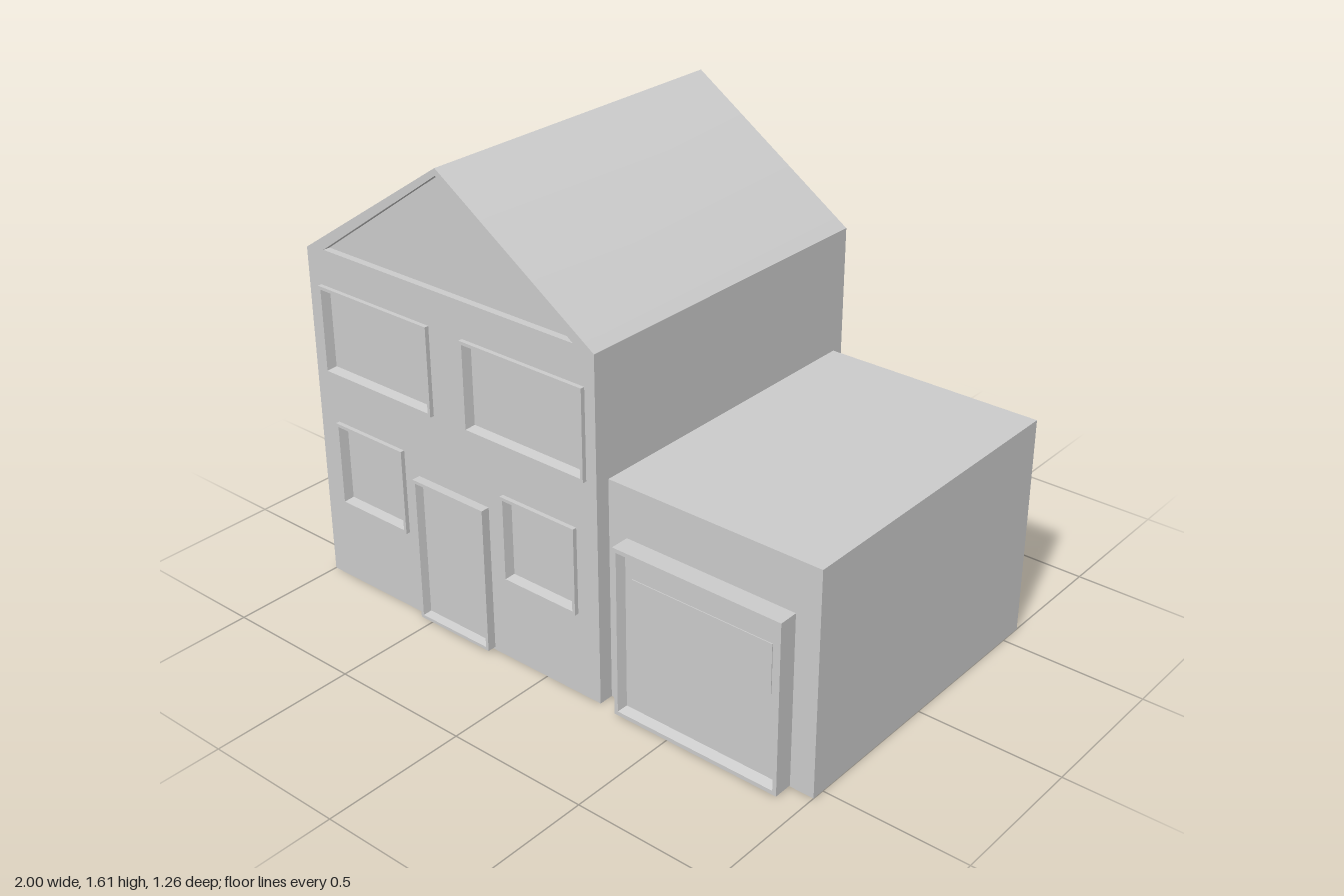
import * as THREE from 'three';

const material = new THREE.MeshStandardMaterial({ color: 0xcccccc });
const L = -1, R = 0.225, MID = (L + R) / 2, EAVE = 1.2, RIDGE = 1.61;

function addMesh(parent, name, geometry) {
  const mesh = new THREE.Mesh(geometry, material);
  mesh.name = name;
  parent.add(mesh);
  return mesh;
}

function polygon(points, Type = THREE.Shape) {
  return new Type(points.map(([x, y]) => new THREE.Vector2(x, y)));
}

// Rectangle corners, counter-clockwise, drawn in by an inset
function rect([x0, x1, y0, y1], inset = 0) {
  return [[x0 + inset, y0 + inset], [x1 - inset, y0 + inset],
    [x1 - inset, y1 - inset], [x0 + inset, y1 - inset]];
}

// Slice of the gabled house between two depths, its ridge shaded smoothly
function houseSlice(z0, z1, holes = []) {
  const shape = polygon([[L, 0], [R, 0], [R, EAVE], [MID, RIDGE], [L, EAVE]]);
  shape.holes = holes.map((h) => polygon(h, THREE.Path));
  const geometry = new THREE.ExtrudeGeometry(shape, { depth: z1 - z0, bevelEnabled: false });
  geometry.translate(0, 0, z0);
  const p = geometry.attributes.position, n = geometry.attributes.normal;
  for (let i = 0; i < p.count; i++) {
    if (p.getY(i) > RIDGE - 0.001 && n.getY(i) > 0.5) n.setXYZ(i, 0, 1, 0);
  }
  return geometry;
}

// Moulded frame with a sunken panel: nested rectangles, each [inset, z]
function framedPanel(bounds, steps) {
  const rings = steps.map(([inset, z]) => rect(bounds, inset).map(([x, y]) => [x, y, z]));
  const out = [];
  const quad = (a, b, c, d) => out.push(...a, ...b, ...c, ...a, ...c, ...d);
  for (let r = 0; r < rings.length - 1; r++) {
    for (let i = 0; i < 4; i++) {
      const j = (i + 1) % 4;
      quad(rings[r][i], rings[r][j], rings[r + 1][j], rings[r + 1][i]);
    }
  }
  quad(...rings[rings.length - 1]);
  const geometry = new THREE.BufferGeometry();
  geometry.setAttribute('position', new THREE.Float32BufferAttribute(out, 3));
  geometry.computeVertexNormals();
  return geometry;
}

export function createModel() {
  const model = new THREE.Group();
  model.name = 'houseWithGarage';

  const windows = {
    upperRightWindow: [-0.945, -0.455, 0.775, 1.085],
    upperLeftWindow: [-0.31, 0.185, 0.775, 1.085],
    lowerRightWindow: [-0.915, -0.605, 0.295, 0.6],
    lowerLeftWindow: [-0.165, 0.14, 0.295, 0.6],
  };
  const gable = [[-0.92, 1.21], [0.145, 1.21], [MID, 1.586]];

  // House: solid core, with pierced layers front and back for the recesses
  const house = new THREE.Group();
  house.name = 'house';
  model.add(house);
  const holes = Object.values(windows).map((b) => rect(b, 0.005));
  addMesh(house, 'houseCore', houseSlice(-0.605, 0.572));
  addMesh(house, 'frontWall', houseSlice(0.572, 0.597, [gable, ...holes]));
  addMesh(house, 'backWall', houseSlice(-0.63, -0.605, [gable]));

  // Windows
  for (const [name, bounds] of Object.entries(windows)) {
    addMesh(house, name, framedPanel(bounds, [[0, 0.58], [0, 0.612], [0.011, 0.612], [0.017, 0.578]]));
  }

  // Front door
  addMesh(house, 'frontDoor', framedPanel([-0.54, -0.23, 0.01, 0.53],
    [[0, 0.59], [0, 0.628], [0.011, 0.628], [0.017, 0.6]]));

  // Garage block
  const garage = new THREE.Group();
  garage.name = 'garage';
  model.add(garage);
  const depth = 1.13;
  addMesh(garage, 'garageBlock', new THREE.BoxGeometry(1 - R, 0.775, depth))
    .position.set((1 + R) / 2, 0.775 / 2, 0.545 - depth / 2);

  // Garage door with its shallow window strip
  addMesh(garage, 'garageDoor', framedPanel([0.295, 0.915, 0.004, 0.6],
    [[0, 0.54], [0, 0.612], [0.014, 0.612], [0.023, 0.58]]));
  addMesh(garage, 'garageDoorWindow', framedPanel([0.345, 0.865, 0.325, 0.495],
    [[0, 0.579], [0, 0.583]]));

  return model;
}
